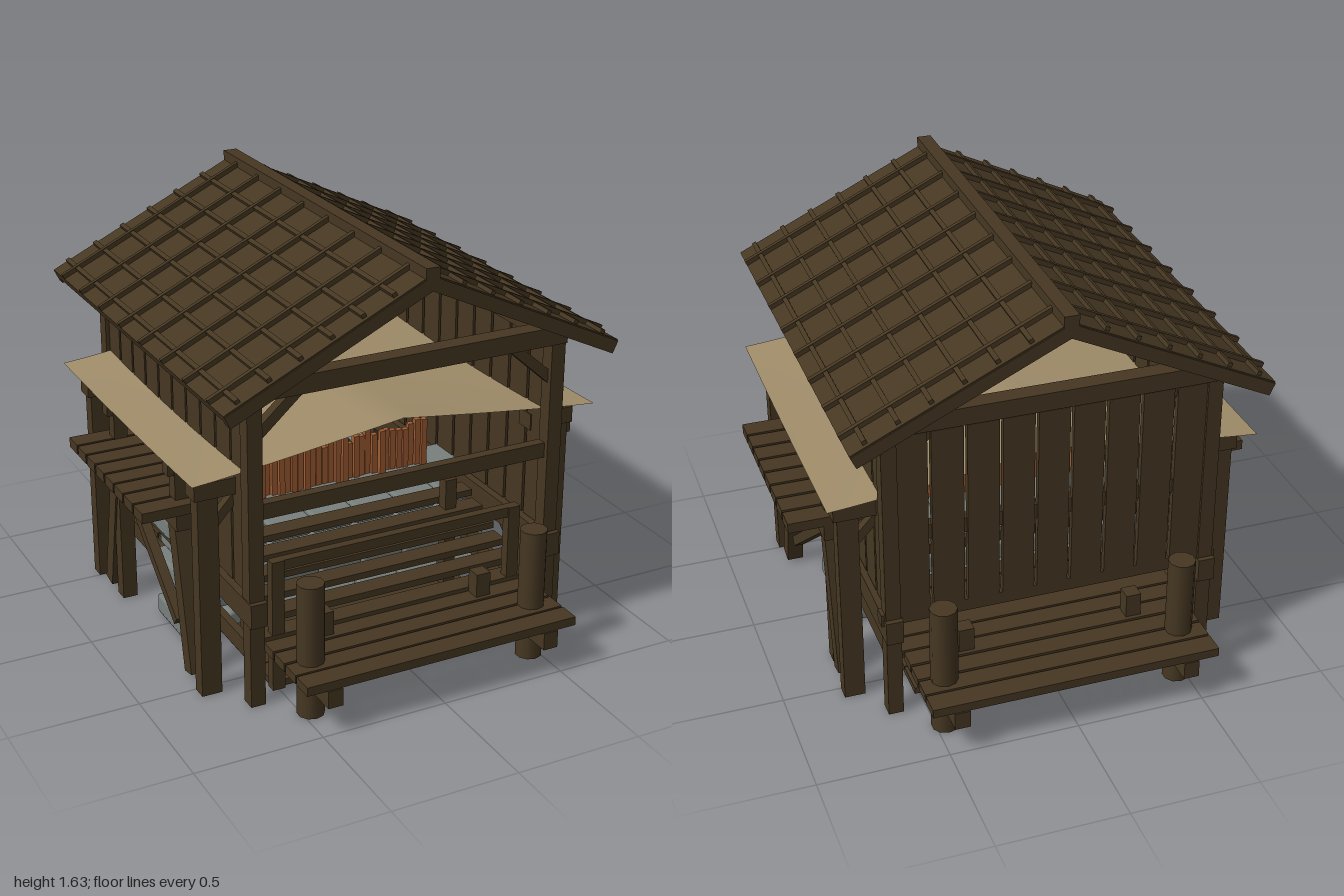
import * as THREE from 'three';
import { RoundedBoxGeometry } from 'three/addons/geometries/RoundedBoxGeometry.js';

const mat = (name, color, extra = {}) => {
  const m = new THREE.MeshStandardMaterial({ color, ...extra });
  m.name = name;
  return m;
};

export function createModel() {
  const model = new THREE.Group();
  const wood = mat('dark wood', 0x463722);
  const stone = mat('grey stone', 0x78807d);
  const cloth = mat('canvas', 0xa08d6a, { side: THREE.DoubleSide });
  const copper = mat('orange wood', 0xa05c33);
  let seed = 7;
  const rnd = () => (seed = (seed * 16807) % 2147483647) / 2147483647;

  const add = (name, geo, m = wood) => {
    const mesh = new THREE.Mesh(geo, m);
    mesh.name = name;
    model.add(mesh);
    return mesh;
  };
  // box from its min and max on each axis
  const box = (name, x0, x1, y0, y1, z0, z1, m = wood) => {
    const mesh = add(name, new THREE.BoxGeometry(x1 - x0, y1 - y0, z1 - z0), m);
    mesh.position.set((x0 + x1) / 2, (y0 + y1) / 2, (z0 + z1) / 2);
    return mesh;
  };
  // the same box on side s of the model
  const sideBox = (name, s, x0, x1, y0, y1, z0, z1) =>
    box(name, Math.min(s * x0, s * x1), Math.max(s * x0, s * x1), y0, y1, z0, z1);
  // square timber between two points
  const strut = (name, a, b, w) => {
    const p = new THREE.Vector3(...a), q = new THREE.Vector3(...b);
    const mesh = add(name, new THREE.BoxGeometry(w, w, p.distanceTo(q)));
    mesh.position.copy(p).add(q).multiplyScalar(0.5);
    mesh.lookAt(q);
    return mesh;
  };
  const S = [-1, 1];

  // main frame
  for (const s of S) for (const t of S) {
    box('cornerPost', s * 0.617 - 0.029, s * 0.617 + 0.029, 0, 1.25, t * 0.68 - 0.03, t * 0.68 + 0.03);
    strut('cornerBrace', [s * 0.6, 1.06, t * 0.67], [s * 0.42, 1.22, t * 0.67], 0.04);
  }
  for (const t of S) {
    box('tieBeam', -0.65, 0.65, 1.2, 1.27, t * 0.68 - 0.035, t * 0.68 + 0.035);
    box('middleBeam', -0.6, 0.6, 0.74, 0.8, t * 0.67 - 0.02, t * 0.67 + 0.02);
  }
  box('lowerBeam', -0.6, 0.6, 0.66, 0.7, -0.67, -0.64);
  box('backSill', -0.66, 0.66, 0.4, 0.45, -0.7, -0.65);
  for (const s of S) {
    sideBox('topPlate', s, 0.59, 0.645, 1.19, 1.26, -0.71, 0.71);
    sideBox('sideSill', s, 0.585, 0.65, 0.335, 0.43, -0.73, 0.73);
    sideBox('sideRail', s, 0.57, 0.6, 0.12, 0.19, -0.62, 0.62);
  }

  // plank walls
  for (let i = 0; i < 10; i++) {
    const z = -0.6 + i * 0.1333;
    for (const s of S) sideBox('sidePlank', s, 0.605, 0.63, 0.44, 1.19, z - 0.059, z + 0.059);
    if (i < 9) {
      const x = -0.533 + i * 0.1333;
      box('backPlank', x - 0.06, x + 0.06, 0.44, 1.19, -0.7, -0.675);
    }
  }

  // roof slabs, battens and ridge
  const angle = Math.atan2(0.37, 0.78);
  const length = Math.hypot(0.78, 0.37);
  for (const s of S) {
    const slope = new THREE.Group();
    slope.name = 'roofSlope';
    slope.position.set(0, 1.585, 0);
    slope.rotation.z = s > 0 ? -angle : Math.PI + angle;
    const piece = (name, x, y, z, w, h, d) => {
      const mesh = new THREE.Mesh(new THREE.BoxGeometry(w, h, d), wood);
      mesh.name = name;
      mesh.position.set(x, y * s, z);
      slope.add(mesh);
    };
    piece('roofSlab', length / 2, 0, 0, length, 0.035, 1.67);
    for (const t of S) piece('bargeBoard', length / 2, -0.012, t * 0.82, length, 0.05, 0.04);
    for (let i = 0; i < 8; i++) piece('slopeBatten', length / 2, 0.026, -0.715 + i * 0.2043, length, 0.02, 0.018);
    for (let i = 0; i < 6; i++) piece('crossBatten', 0.14 + i * 0.131, 0.024, 0, 0.018, 0.018, 1.64);
    model.add(slope);
  }
  box('ridgeBeam', -0.028, 0.028, 1.565, 1.63, -0.84, 0.84);

  // sagging canvas awning
  const sheet = new THREE.PlaneGeometry(1.66, 1.3, 20, 10).rotateX(-Math.PI / 2);
  const p = sheet.attributes.position;
  for (let i = 0; i < p.count; i++) {
    const u = 1 - Math.abs(p.getX(i)) / 0.83, v = 1 - (p.getZ(i) / 0.65) ** 2;
    p.setY(i, 0.9 + 0.1 * Math.pow(u, 1.15) - 0.035 * u * v - 0.008 * v);
  }
  sheet.computeVertexNormals();
  add('awning', sheet, cloth);

  // side platforms with their trestles
  for (const s of S) {
    for (let i = 0; i < 8; i++) {
      const z = -0.335 + i * 0.0963;
      sideBox('platformPlank', s, 0.62, 0.915, 0.66, 0.7, z - 0.042, z + 0.042);
    }
    sideBox('platformBeam', s, 0.7, 0.78, 0.595, 0.66, -0.375, 0.375);
    for (const t of S) {
      const z = t * 0.53;
      sideBox('awningPost', s, 0.695, 0.775, 0, 0.875, z - 0.03, z + 0.03);
      sideBox('awningArm', s, 0.6, 0.79, 0.8, 0.865, z - 0.04, z + 0.04);
      sideBox('platformPost', s, 0.71, 0.765, 0.7, 0.875, t * 0.305 - 0.027, t * 0.305 + 0.027);
      sideBox('platformArm', s, 0.6, 0.79, 0.8, 0.865, t * 0.305 - 0.025, t * 0.305 + 0.025);
      strut('trestleLeg', [s * 0.735, 0.02, t * 0.41], [s * 0.735, 0.6, t * 0.29], 0.065);
      strut('armBrace', [s * 0.62, 0.78, z], [s * 0.73, 0.66, z], 0.035);
    }
    sideBox('trestlePost', s, 0.7, 0.76, 0, 0.6, -0.33, -0.27);
    strut('trestleBrace', [s * 0.74, 0.17, 0.28], [s * 0.74, 0.57, -0.24], 0.04);
  }

  // front and back landings
  for (const t of S) {
    for (const [z, w] of [[0.952, 0.085], [0.86, 0.08], [0.768, 0.08], [0.676, 0.08]])
      box('landingPlank', -0.56, 0.56, 0.18, 0.215, t * z - w / 2, t * z + w / 2);
    for (const s of S) {
      box('landingJoist', s * 0.45 - 0.03, s * 0.45 + 0.03, 0.11, 0.18, Math.min(t * 0.6, t), Math.max(t * 0.6, t));
      const post = add('mooringPost', new THREE.CylinderGeometry(0.052, 0.052, 0.53, 10));
      post.position.set(s * 0.465, 0.265, t * 0.83);
      box('shortPost', s * 0.335 - 0.03, s * 0.335 + 0.03, 0.02, 0.31, t * 0.67 - 0.03, t * 0.67 + 0.03);
    }
    box('footBeam', -0.37, 0.37, 0.04, 0.1, t * 0.72 - 0.025, t * 0.72 + 0.025);
  }

  // open stepped boards in front, low deck behind
  for (let i = 0; i < 6; i++) {
    const z = 0.6 - i * 0.085, y = 0.22 + i * 0.035;
    box('stepBoard', -0.57, 0.57, y - 0.015, y + 0.012, z - 0.041, z + 0.041);
  }
  for (let i = 0; i < 5; i++) {
    const z = -0.58 + i * 0.09;
    box('backDeckBoard', -0.57, 0.57, 0.18, 0.21, z - 0.04, z + 0.04);
  }
  for (const s of S) {
    box('railPost', s * 0.5 - 0.025, s * 0.5 + 0.025, 0, 0.53, 0.6, 0.64);
    box('innerPost', s * 0.44 - 0.025, s * 0.44 + 0.025, 0, 0.5, 0.22, 0.27);
    strut('stringer', [s * 0.48, 0.16, 0.62], [s * 0.48, 0.38, 0.15], 0.05);
  }
  box('frontRail', -0.52, 0.52, 0.49, 0.53, 0.6, 0.635);

  // ground boards with a stone bed showing between them
  for (let i = 0; i < 9; i++) {
    const z = -0.56 + i * 0.14;
    box('groundBoard', -0.52, 0.52, 0.003, 0.03, z - 0.068, z + 0.068);
  }
  box('stoneBed', -0.36, 0.3, 0, 0.025, -0.28, 0.34, stone);

  // leaning stone wall in staggered courses
  const courses = [[0.17, -0.11], [0.14, -0.13], [0.1, -0.145], [0.07, -0.15], [0.035, -0.15]];
  courses.forEach(([z1, z0], row) => {
    const shift = row % 2 ? 0.018 : -0.018;
    for (let i = 0; i < 7; i++) {
      const block = add('stoneBlock', new RoundedBoxGeometry(0.184, 0.084, z1 - z0, 1, 0.016), stone);
      block.position.set((i - 3) * 0.19 + shift, 0.043 + row * 0.094, (z0 + z1) / 2);
    }
  });

  // upright staves along the wall top
  for (let i = 0; i < 34; i++) {
    const x = -0.462 + i * 0.028, top = 0.61 + rnd() * 0.055;
    const z = -0.02 + rnd() * 0.03;
    box('stave', x - 0.012, x + 0.012, 0.38, top, z - 0.012, z + 0.012, copper);
  }
  return model;
}
